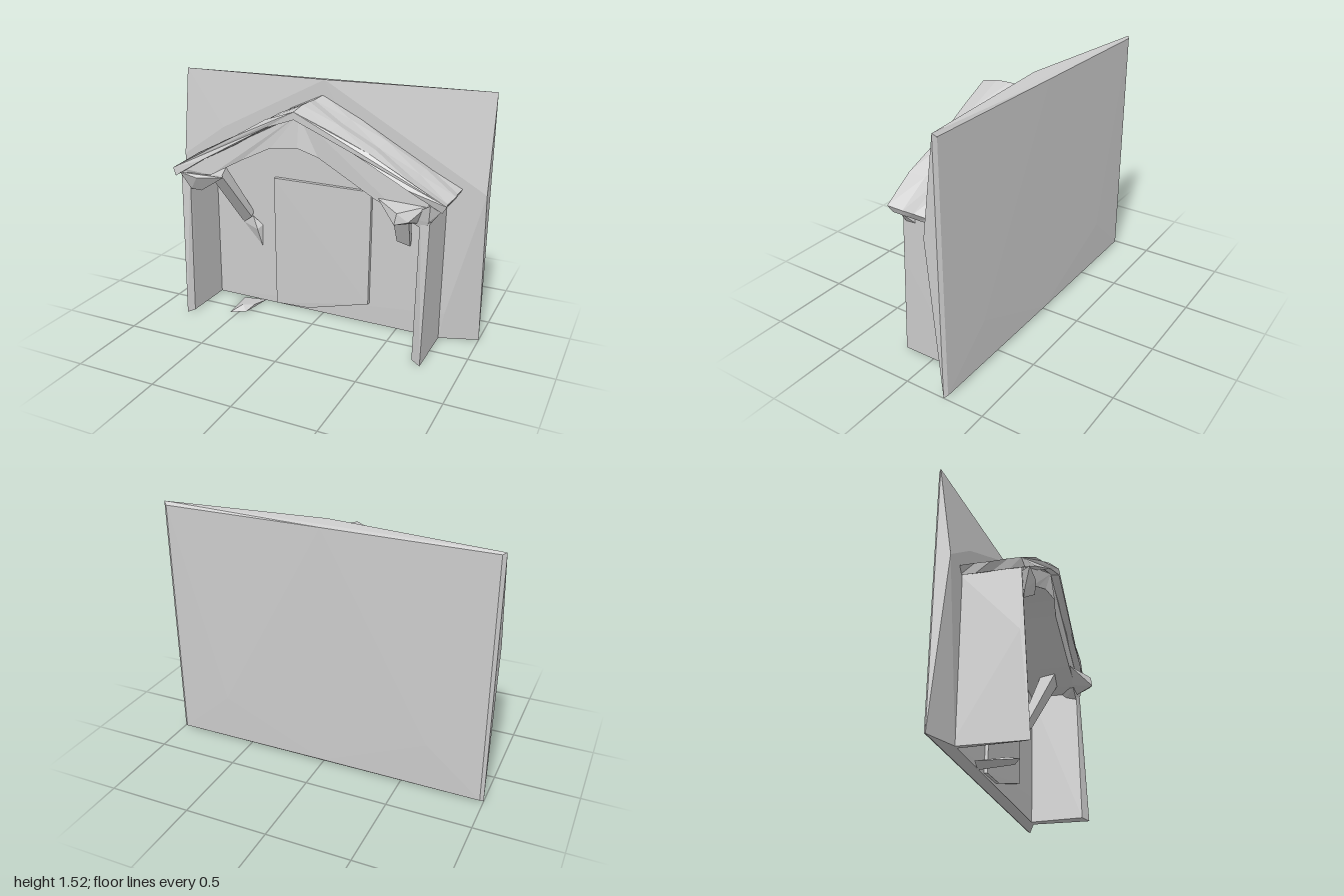
import * as THREE from 'three';
import { ConvexGeometry } from 'three/addons/geometries/ConvexGeometry.js';

const material = new THREE.MeshStandardMaterial({ color: 0xcccccc, flatShading: true, side: THREE.DoubleSide });

// Adds a named mesh to the group
function add(group, name, geometry) {
  const mesh = new THREE.Mesh(geometry, material);
  mesh.name = name;
  group.add(mesh);
}

// Convex solid around a few corner points
const hull = (points) => new ConvexGeometry(points.map((p) => new THREE.Vector3(...p)));

// Solid lofted through a counter-clockwise x/y profile at several depths;
// warp(x, y, z, i, k) returns the moved corner for a rough, hand-made edge
function loft(profile, depths, warp) {
  const positions = [];
  const indices = [];
  const n = profile.length;
  depths.forEach((z, k) => profile.forEach(([x, y], i) => positions.push(...warp(x, y, z, i, k))));
  for (let k = 0; k < depths.length - 1; k++) {
    for (let i = 0; i < n; i++) {
      const a = k * n + i;
      const b = k * n + ((i + 1) % n);
      indices.push(a, b, a + n, b, b + n, a + n);
    }
  }
  const top = (depths.length - 1) * n;
  const contour = profile.map(([x, y]) => new THREE.Vector2(x, y));
  for (const [a, b, c] of THREE.ShapeUtils.triangulateShape(contour, [])) {
    indices.push(top + a, top + b, top + c, a, c, b);
  }
  const geometry = new THREE.BufferGeometry();
  geometry.setAttribute('position', new THREE.Float32BufferAttribute(positions, 3));
  geometry.setIndex(indices);
  const flat = geometry.toNonIndexed();
  flat.computeVertexNormals();
  return flat;
}

export function createModel() {
  const group = new THREE.Group();

  // Wall slab: thick in the middle, thinning towards its four corners
  add(group, 'backWall', hull([
    [-1, 1.5, -0.25], [1, 1.52, -0.25], [-1, 0, -0.25], [1, 0, -0.25],
    [0, 1.52, -0.17], [-0.7, 1.16, -0.17], [-1, 0.95, -0.17], [1, 0.95, -0.17],
    [-0.8, 0, -0.175], [0.77, 0, -0.17], [0.8, 0.17, -0.165],
    [-0.98, 1.49, -0.265], [0.98, 1.5, -0.265], [-0.98, 0.01, -0.265], [0.98, 0.01, -0.265],
    [0, 1.5, -0.274], [0, 0.02, -0.274], [-0.65, 0.3, -0.274], [0.65, 0.3, -0.274],
  ]));

  // Door panel, its lower edge sinking into the wall
  add(group, 'door', hull([
    [-0.33, 0.88, -0.2], [0.32, 0.88, -0.2], [-0.33, 0.01, -0.2], [-0.1, 0.02, -0.2], [0.32, 0.14, -0.2],
    [-0.33, 0.88, -0.14], [0.32, 0.88, -0.145], [-0.33, 0.01, -0.155], [-0.1, 0.02, -0.155], [0.315, 0.14, -0.145],
  ]));

  // Side walls, flaring forward at the foot
  const sideWall = (outerTop, innerTop, outerFoot, innerFoot) => hull([
    [outerTop, 0.96, -0.2], [innerTop, 0.96, -0.2], [outerFoot, 0, -0.2], [innerFoot, 0, -0.2],
    [outerTop, 0.96, 0.15], [innerTop, 0.96, 0.14],
    [outerTop, 0.58, 0.145], [innerTop, 0.58, 0.12],
    [outerFoot, 0, 0.195], [innerFoot, 0.01, 0.16],
  ]);
  add(group, 'rightSideWall', sideWall(-0.815, -0.76, -0.8, -0.765));
  add(group, 'leftSideWall', sideWall(0.775, 0.715, 0.77, 0.71));

  // Gable beam under the roof
  const beam = [
    [0.8, 0.95], [0.4, 1.18], [-0.02, 1.375], [-0.4, 1.19], [-0.82, 0.96],
    [-0.8, 0.92], [-0.6, 0.95], [-0.4, 1.06], [-0.2, 1.16], [-0.02, 1.185],
    [0.1, 1.14], [0.45, 0.95], [0.62, 0.88], [0.76, 0.86],
  ];
  add(group, 'gableBeam', loft(beam, [-0.19, 0, 0.145], (x, y, z, i, k) =>
    [x, y, k === 2 ? z + 0.012 * Math.sin(i * 2.3) : z]));

  // Rough roof sheet with ragged eaves and front edge
  const ridge = [
    [0.86, 0.97], [0.66, 1.08], [0.42, 1.21], [0.2, 1.32], [-0.02, 1.42],
    [-0.22, 1.33], [-0.44, 1.2], [-0.66, 1.09], [-0.86, 0.97],
  ];
  const sheet = [...ridge, ...ridge.map(([x, y]) => [x * 0.97, y - 0.045]).reverse()];
  add(group, 'roof', loft(sheet, [-0.18, -0.09, 0, 0.09, 0.175], (x, y, z, i, k) => {
    const rough = Math.sin(i * 5.1 + k * 3.7);
    const edge = k === 4 ? 0.014 * Math.sin(i * 2.1) : 0;
    return [x + 0.01 * rough, y + 0.008 * rough - (Math.abs(x) < 0.03 && k === 4 ? 0.015 : 0), z + edge];
  }));

  // Broken braces leaning from the beam back to the wall
  add(group, 'rightBrace', hull([
    [-0.65, 0.93, 0.1], [-0.56, 0.93, 0.1], [-0.6, 0.95, -0.02],
    [-0.6, 0.7, -0.06], [-0.53, 0.8, 0.0],
    [-0.49, 0.6, -0.13], [-0.57, 0.54, -0.17], [-0.5, 0.62, -0.18],
  ]));
  add(group, 'rightBraceSplinter', hull([
    [-0.57, 0.54, -0.17], [-0.43, 0.54, -0.17], [-0.43, 0.4, -0.16], [-0.45, 0.52, -0.13], [-0.49, 0.6, -0.15],
  ]));
  add(group, 'leftBrace', hull([
    [0.5, 0.93, 0.04], [0.61, 0.9, 0.04], [0.52, 0.93, -0.06], [0.6, 0.86, -0.06],
    [0.49, 0.6, -0.14], [0.575, 0.58, -0.14], [0.49, 0.61, -0.18], [0.57, 0.59, -0.18],
  ]));

  // Crumbled eave ends
  add(group, 'leftEaveChunk', hull([
    [0.47, 0.96, 0.15], [0.62, 0.93, 0.26], [0.68, 0.88, 0.24], [0.61, 0.865, 0.27],
    [0.75, 0.95, 0.14], [0.6, 0.88, 0.14], [0.7, 0.85, 0.15],
  ]));
  add(group, 'leftEaveSplinter', hull([
    [0.62, 0.87, 0.14], [0.77, 0.87, 0.16], [0.74, 0.81, 0.14], [0.78, 0.97, 0.18],
    [0.83, 0.93, 0.12], [0.7, 0.9, 0.02], [0.75, 0.83, 0.05],
  ]));
  add(group, 'rightEaveChunk', hull([
    [-0.8, 0.95, 0.19], [-0.68, 0.93, 0.195], [-0.75, 0.84, 0.15], [-0.69, 0.83, 0.13],
    [-0.63, 0.89, 0.13], [-0.52, 0.94, 0.15], [-0.76, 0.9, 0.05], [-0.6, 0.92, 0.04],
  ]));

  // Thin shard of stone on the ground
  add(group, 'groundShard', hull([
    [-0.57, 0, -0.15], [-0.42, 0, -0.18], [-0.44, 0.02, -0.05],
    [-0.5, 0.03, 0], [-0.55, 0, 0.08], [-0.46, 0, 0.03],
  ]));

  return group;
}
